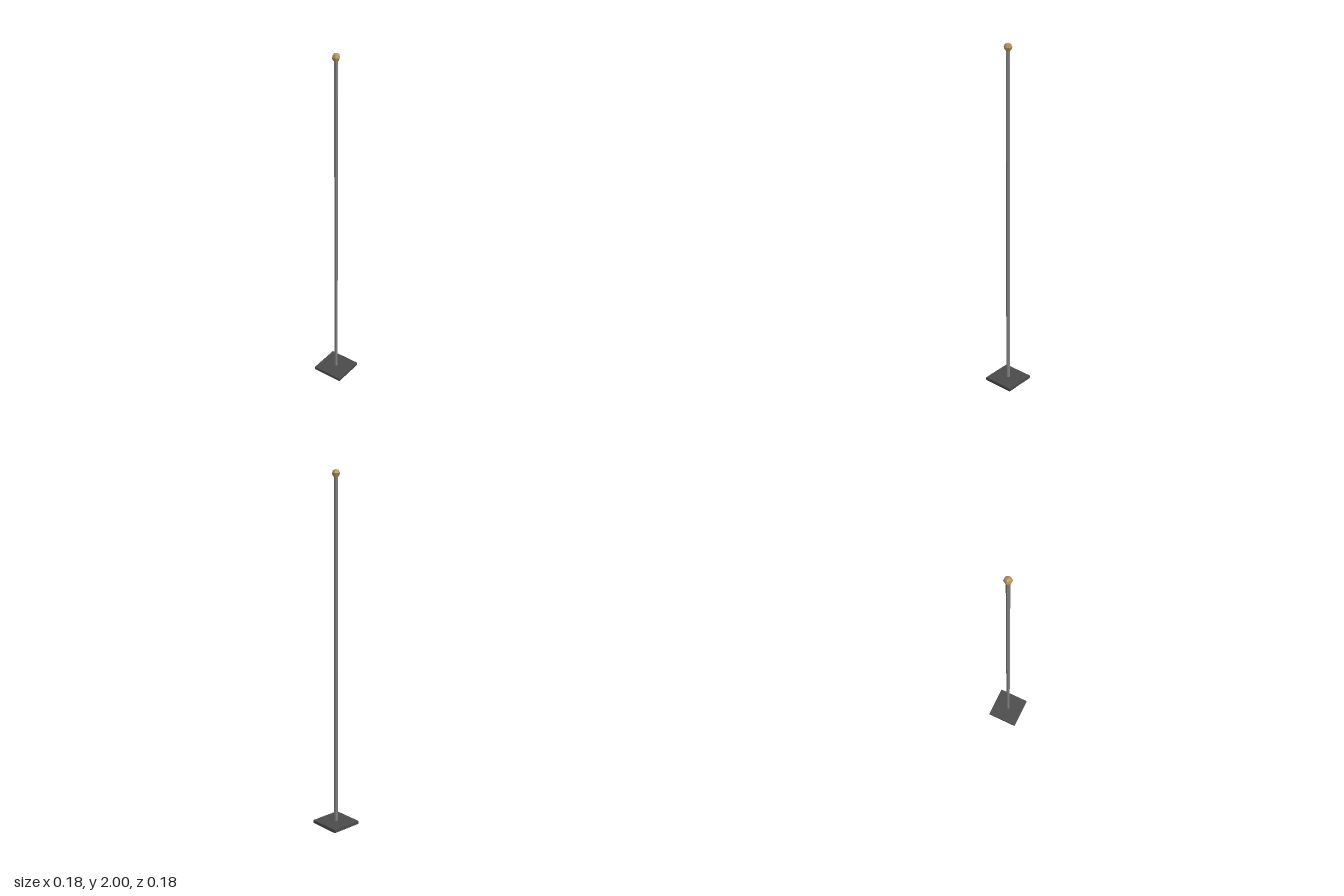
import * as THREE from 'three';

export function createModel() {
  const group = new THREE.Group();
  const add = (name, geometry, color, y) => {
    const material = new THREE.MeshStandardMaterial({ color, flatShading: true });
    const mesh = new THREE.Mesh(geometry, material);
    mesh.name = name;
    mesh.position.y = y;
    group.add(mesh);
    return mesh;
  };

  const baseHeight = 0.018;
  const ballRadius = 0.0225;
  const ballY = 2 - ballRadius;

  // Square foot plate
  add('basePlate', new THREE.BoxGeometry(0.184, baseHeight, 0.184), 0x4a4a4a, baseHeight / 2);

  // Slim six-sided pole, running up into the ball
  const poleHeight = ballY - baseHeight;
  add('pole', new THREE.CylinderGeometry(0.0105, 0.0105, poleHeight, 6), 0x808080, baseHeight + poleHeight / 2);

  // Faceted brass ball, its corners in line with those of the pole
  const ball = add('finial', new THREE.SphereGeometry(ballRadius, 6, 4), 0xb8925a, ballY);
  ball.rotation.y = Math.PI / 6;

  return group;
}
